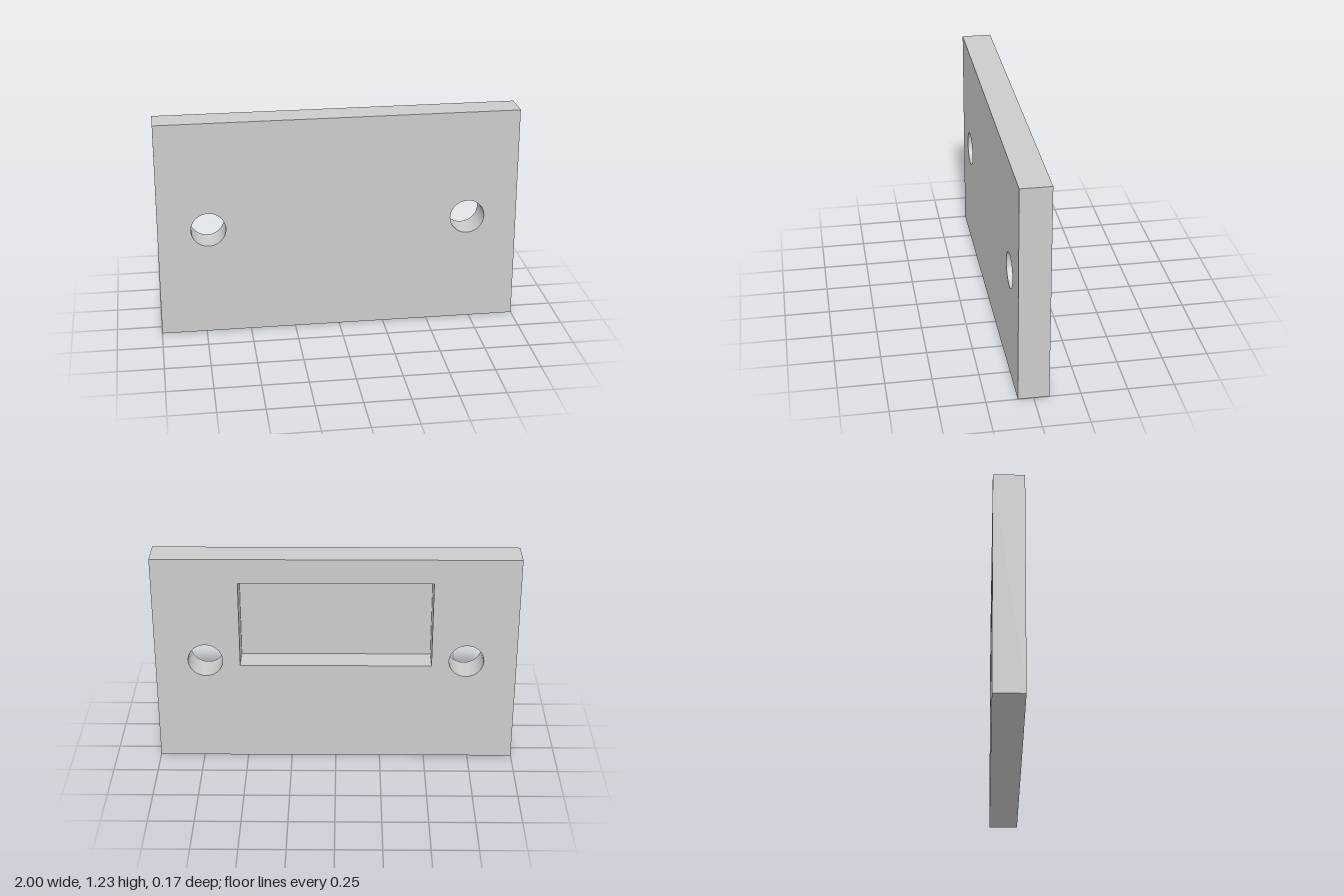
import * as THREE from 'three';
import { mergeVertices } from 'three/addons/utils/BufferGeometryUtils.js';

const W = 2, H = 1.226, Z = 0.083;           // plate size and half thickness
const HOLE_X = 0.722, HOLE_R = 0.096;        // bolt holes
const POCKET = { w: 1.06, y0: 0.583, y1: 1.085, floor: 0.057 };

// Counter-clockwise outlines as seen from +z
const rect = (w, y0, y1) => [[-w / 2, y0], [w / 2, y0], [w / 2, y1], [-w / 2, y1]]
  .map(([x, y]) => new THREE.Vector2(x, y));

const circle = (cx, cy, r, n = 64) => Array.from({ length: n }, (_, i) => {
  const a = (i / n) * Math.PI * 2;
  return new THREE.Vector2(cx + r * Math.cos(a), cy + r * Math.sin(a));
});

// Flat face with openings
function face(outline, openings = []) {
  const shape = new THREE.Shape(outline);
  openings.forEach((o) => shape.holes.push(new THREE.Path(o)));
  return new THREE.ShapeGeometry(shape);
}

// Band along a closed outline; faces outward, or inward for openings
function wall(outline, z0, z1, { inward = false, smooth = false } = {}) {
  const pts = inward ? [...outline].reverse() : outline;
  const pos = [];
  pts.forEach((a, i) => {
    const b = pts[(i + 1) % pts.length];
    pos.push(a.x, a.y, z0, b.x, b.y, z0, b.x, b.y, z1);
    pos.push(a.x, a.y, z0, b.x, b.y, z1, a.x, a.y, z1);
  });
  let geo = new THREE.BufferGeometry();
  geo.setAttribute('position', new THREE.Float32BufferAttribute(pos, 3));
  if (smooth) geo = mergeVertices(geo);
  geo.computeVertexNormals();
  return geo;
}

export function createModel() {
  const group = new THREE.Group();
  group.name = 'mountingPlate';
  const material = new THREE.MeshStandardMaterial({ color: 0xcccccc });
  const add = (name, geo, z = 0) => {
    const mesh = new THREE.Mesh(geo, material);
    mesh.name = name;
    mesh.position.z = z;
    group.add(mesh);
  };

  const outline = rect(W, 0, H);
  const pocket = rect(POCKET.w, POCKET.y0, POCKET.y1);
  const holes = [-1, 1].map((s) => circle(s * HOLE_X, H / 2, HOLE_R));

  // Plate body
  add('frontFace', face(outline, holes), Z);
  add('backFace', face(outline, [...holes, pocket]).rotateY(Math.PI), -Z);
  add('outerEdges', wall(outline, -Z, Z));

  // Through holes
  holes.forEach((h, i) =>
    add(i ? 'leftBoltHole' : 'rightBoltHole', wall(h, -Z, Z, { inward: true, smooth: true })));

  // Rectangular pocket in the back
  add('pocketWalls', wall(pocket, -Z, POCKET.floor, { inward: true }));
  add('pocketFloor', face(pocket).rotateY(Math.PI), POCKET.floor);

  return group;
}
